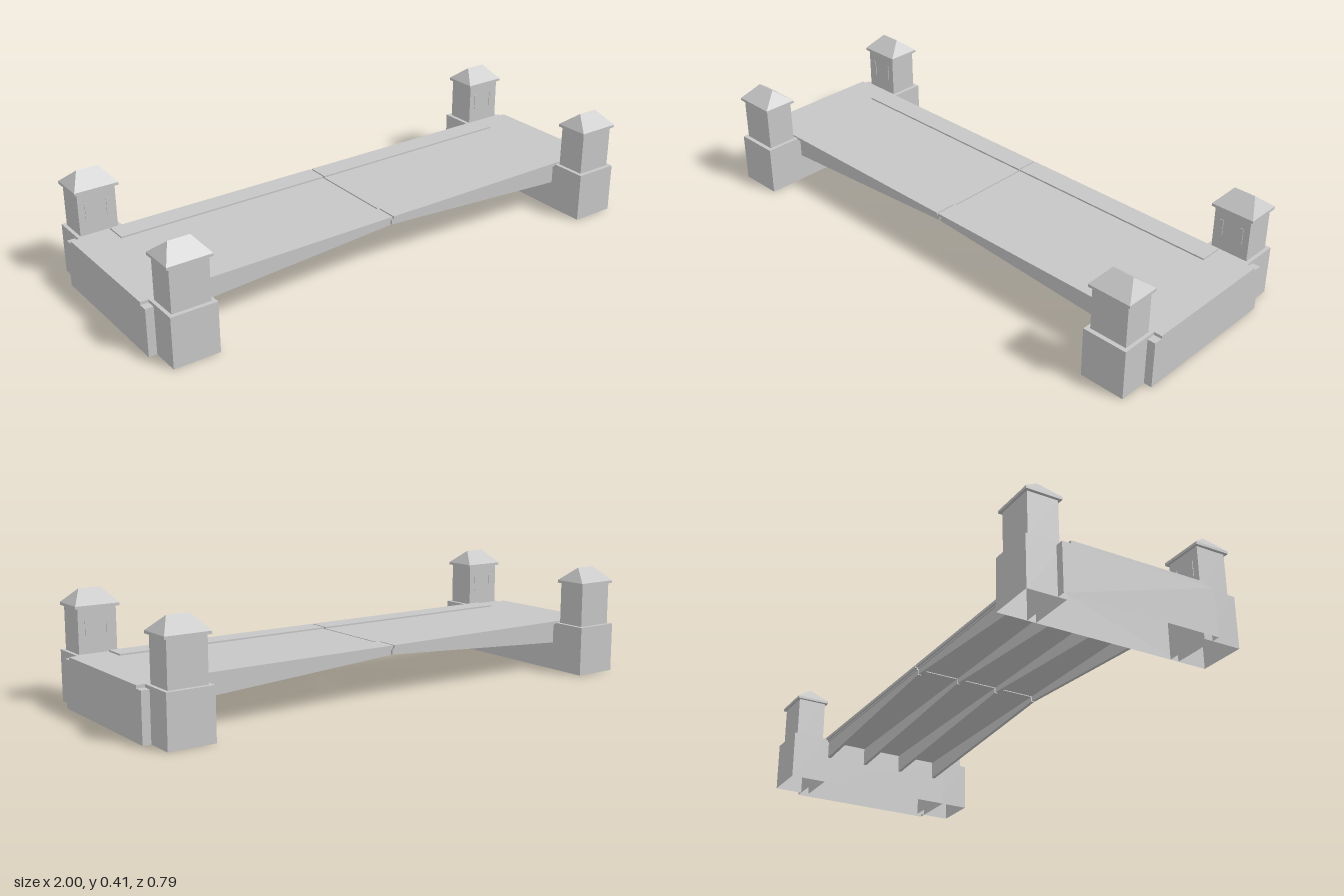
import * as THREE from 'three';

const stone = new THREE.MeshStandardMaterial({ color: 0xc6c6c6, side: THREE.DoubleSide });
stone.name = 'plain grey';

function add(parent, name, geometry) {
  const mesh = new THREE.Mesh(geometry, stone);
  mesh.name = name;
  parent.add(mesh);
  return mesh;
}

// Box given by its extents; openBottom drops the downward face
function block(parent, name, [x0, x1], [y0, y1], [z0, z1], openBottom = false) {
  const g = new THREE.BoxGeometry(x1 - x0, y1 - y0, z1 - z0);
  g.translate((x0 + x1) / 2, (y0 + y1) / 2, (z0 + z1) / 2);
  if (openBottom) {
    const index = Array.from(g.index.array);
    index.splice(18, 6);
    g.setIndex(index);
    g.clearGroups();
  }
  return add(parent, name, g);
}

// Hipped roof with its ridge along x
function hipRoof(w, d, ridge, h) {
  const a = [-w, 0, d], b = [w, 0, d], c = [w, 0, -d], e = [-w, 0, -d];
  const r = [-ridge, h, 0], s = [ridge, h, 0];
  const faces = [a, b, s, a, s, r, b, c, s, c, e, r, c, r, s, e, a, r];
  const g = new THREE.BufferGeometry();
  g.setAttribute('position', new THREE.Float32BufferAttribute(faces.flat(), 3));
  g.computeVertexNormals();
  return g;
}

// Corner pier with its tower house; side is +1 or -1 along z
function makeTower(side) {
  const tower = new THREE.Group();
  tower.name = 'tower';
  const span = (a, b) => (side > 0 ? [a, b] : [-b, -a]);
  block(tower, 'pier', [0.8, 0.97], [0, 0.186], span(0.255, 0.395), true);
  block(tower, 'towerWall', [0.815, 0.957], [0.186, 0.345], span(0.267, 0.379));
  block(tower, 'eaves', [0.804, 0.968], [0.345, 0.355], span(0.258, 0.388));
  add(tower, 'roof', hipRoof(0.082, 0.065, 0.04, 0.052)).position.set(0.886, 0.355, side * 0.323);
  // Narrow window slits facing the roadway
  for (const x of [0.846, 0.926]) {
    block(tower, 'window', [x - 0.006, x + 0.006], [0.244, 0.304], span(0.2645, 0.268));
  }
  return tower;
}

// Half of the bridge on the +x side
function makeHalf() {
  const half = new THREE.Group();

  // Hollow abutment and its road slab
  block(half, 'abutment', [0.8, 1], [0, 0.175], [-0.287, 0.287], true);
  block(half, 'abutmentRoad', [0.8, 1], [0.175, 0.186], [-0.255, 0.255]);

  // Lifting leaf with raised footways
  block(half, 'leafDeck', [0.003, 0.8], [0.175, 0.186], [-0.25, 0.25]);
  for (const side of [-1, 1]) {
    const z = side > 0 ? [0.172, 0.257] : [-0.257, -0.172];
    block(half, 'footway', [0.003, 0.85], [0.181, 0.192], z);
  }

  // Tapered girders below the leaf
  const web = new THREE.Shape([
    new THREE.Vector2(0.003, 0.176), new THREE.Vector2(0.003, 0.156),
    new THREE.Vector2(0.8, 0.106), new THREE.Vector2(0.8, 0.176),
  ]);
  const t = 0.012;
  for (const z of [-0.24, -0.08, 0.08, 0.24]) {
    const g = new THREE.ExtrudeGeometry(web, { depth: t, bevelEnabled: false });
    add(half, 'girder', g.translate(0, 0, z - t / 2));
  }

  half.add(makeTower(1), makeTower(-1));
  return half;
}

export function createModel() {
  const bridge = new THREE.Group();
  bridge.name = 'liftingBridge';
  const left = makeHalf();
  left.name = 'leftHalf';
  const right = makeHalf();
  right.name = 'rightHalf';
  right.rotation.y = Math.PI;
  bridge.add(left, right);
  return bridge;
}
